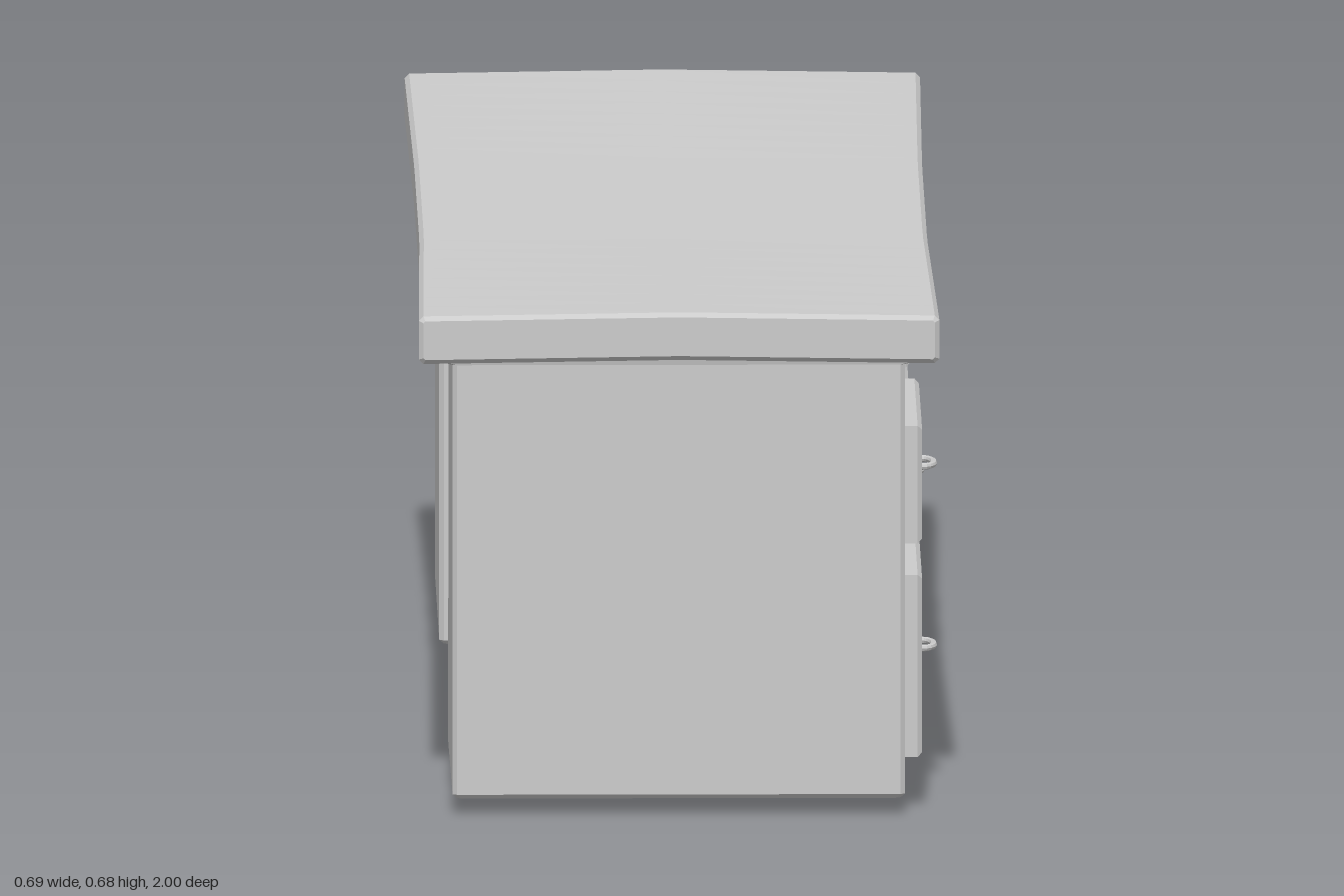
import * as THREE from 'three';

const mat = new THREE.MeshStandardMaterial({ color: 0xcccccc, flatShading: true });

function mesh(geo, name) {
  const m = new THREE.Mesh(geo, mat);
  m.name = name;
  return m;
}

// Worktop: chamfered section swept along z, sagging in the middle and crowned across
function worktop() {
  const w = 0.34, lo = 0.611, hi = 0.675, c = 0.006;
  const pts = [[-w + c, lo], [0, lo], [w - c, lo], [w, lo + c], [w, hi - c],
    [w - c, hi], [0, hi], [-w + c, hi], [-w, hi - c], [-w, lo + c]];
  const shape = new THREE.Shape(pts.map(([x, y]) => new THREE.Vector2(x, y)));
  const geo = new THREE.ExtrudeGeometry(shape, {
    depth: 1.988, steps: 24, bevelEnabled: true, bevelSegments: 1,
    bevelSize: 0.006, bevelThickness: 0.006, bevelOffset: -0.006,
  });
  geo.translate(0, 0, -0.994);
  const p = geo.attributes.position;
  for (let i = 0; i < p.count; i++) {
    const x = p.getX(i), y = p.getY(i), z = p.getZ(i);
    const t = THREE.MathUtils.clamp((Math.abs(z) - 0.3) / 0.7, 0, 1);
    const crown = 0.005 * (1 - Math.abs(x) / w) * t;
    p.setY(i, y + crown - 0.006 * (1 - t));
    p.setX(i, x * (0.99 + 0.025 * t * (z > 0 ? 1 : 0.6)));
  }
  geo.computeVertexNormals();
  return mesh(geo, 'worktop');
}

// Pedestal: rings of eight points (chamfered rectangle), flaring out under the top.
// Each ring is [half width, inner z, outer z, inner y, outer y].
function pedestal(side, rings) {
  const c = 0.006;
  const loops = rings.map(([w, zi, zo, yi, yo]) =>
    [[w - c, zi], [w, zi + c], [w, zo - c], [w - c, zo],
      [c - w, zo], [-w, zo - c], [-w, zi + c], [c - w, zi]].map(([x, z]) =>
      [x, yi + (yo - yi) * (z - zi) / (zo - zi), z * side]));
  const pos = [];
  const tri = (a, b, d) => pos.push(...a, ...(side > 0 ? b : d), ...(side > 0 ? d : b));
  for (let k = 0; k + 1 < loops.length; k++) {
    for (let i = 0; i < 8; i++) {
      const j = (i + 1) % 8, lo = loops[k], up = loops[k + 1];
      tri(lo[i], up[i], lo[j]);
      tri(lo[j], up[i], up[j]);
    }
  }
  const base = loops[0], cap = loops[loops.length - 1];
  for (let i = 1; i < 7; i++) {
    tri(base[0], base[i], base[i + 1]);
    tri(cap[0], cap[i + 1], cap[i]);
  }
  const geo = new THREE.BufferGeometry();
  geo.setAttribute('position', new THREE.Float32BufferAttribute(pos, 3));
  geo.computeVertexNormals();
  return mesh(geo, 'pedestal');
}

// Drawer: bevelled slab on the +x face with an arched pull
function drawer(z, y0, y1, handleY) {
  const g = new THREE.Group();
  g.name = 'drawer';
  const w = 0.195, b = 0.006;
  const s = new THREE.Shape();
  s.moveTo(-w, y0).lineTo(w, y0).lineTo(w, y1).lineTo(-w, y1).closePath();
  const geo = new THREE.ExtrudeGeometry(s, {
    depth: 0.018, bevelEnabled: true, bevelSegments: 1,
    bevelSize: b, bevelThickness: b, bevelOffset: -b,
  });
  geo.rotateY(Math.PI / 2).translate(0.299, 0, z);
  g.add(mesh(geo, 'drawerFront'));
  const path = new THREE.CatmullRomCurve3([
    [0.318, -0.034], [0.331, -0.031], [0.339, -0.016],
    [0.34, 0], [0.339, 0.016], [0.331, 0.031], [0.318, 0.034],
  ].map(([x, dz]) => new THREE.Vector3(x, handleY, z + dz)));
  g.add(mesh(new THREE.TubeGeometry(path, 16, 0.0045, 8), 'handle'));
  return g;
}

export function createModel() {
  const model = new THREE.Group();
  model.name = 'desk';
  model.add(worktop());

  // Base chamfer, walls, then the flare that tapers off toward the outer end
  const units = [
    { side: 1, zc: 0.728, rings: [
      [0.294, 0.451, 0.956, 0.008, 0.021], [0.3, 0.445, 0.962, 0.014, 0.027],
      [0.3, 0.452, 0.962, 0.568, 0.604], [0.334, 0.432, 0.964, 0.608, 0.613],
      [0.33, 0.436, 0.96, 0.625, 0.625]] },
    { side: -1, zc: -0.71, rings: [
      [0.296, 0.436, 0.956, 0, 0.004], [0.302, 0.43, 0.962, 0.006, 0.01],
      [0.302, 0.43, 0.962, 0.568, 0.604], [0.334, 0.41, 0.964, 0.608, 0.613],
      [0.33, 0.414, 0.96, 0.625, 0.625]] },
  ];
  for (const { side, zc, rings } of units) {
    const unit = new THREE.Group();
    unit.name = side > 0 ? 'frontPedestal' : 'backPedestal';
    unit.add(pedestal(side, rings));
    unit.add(drawer(zc, 0.357, 0.515, 0.434));
    unit.add(drawer(zc, 0.07, 0.315, 0.19));
    model.add(unit);
  }
  return model;
}
